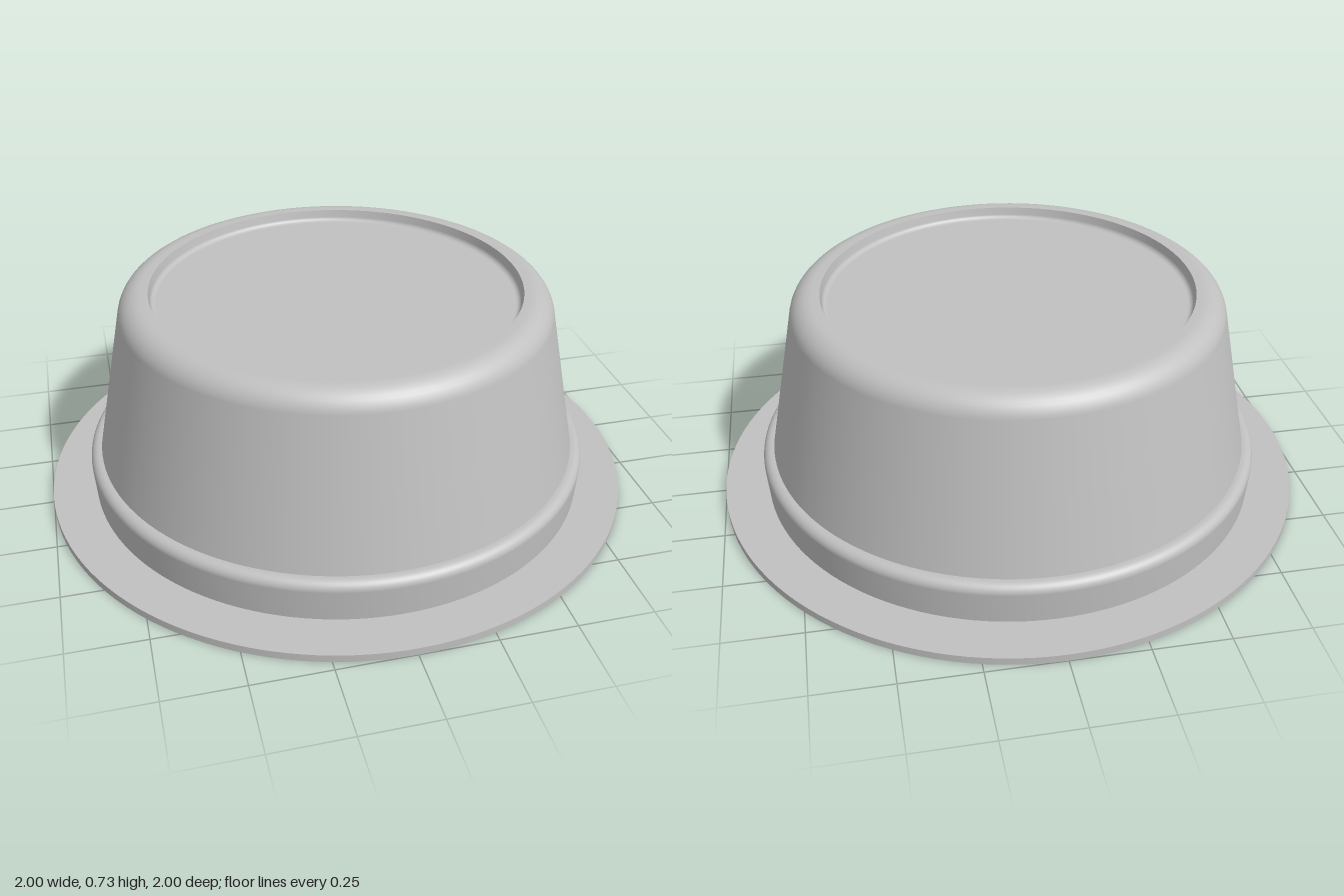
import * as THREE from 'three';

const SEGMENTS = 128;

// Turns corners [radius, height, fillet] into a profile with rounded corners.
function profile(corners) {
  const points = [];
  corners.forEach(([x, y, r], i) => {
    const p = new THREE.Vector2(x, y);
    if (!r) { points.push(p); return; }
    const a = new THREE.Vector2(...corners[i - 1].slice(0, 2)).sub(p).normalize();
    const b = new THREE.Vector2(...corners[i + 1].slice(0, 2)).sub(p).normalize();
    const half = Math.acos(a.dot(b)) / 2;
    const centre = a.clone().add(b).normalize().multiplyScalar(r / Math.sin(half)).add(p);
    const t = r / Math.tan(half);
    const from = a.multiplyScalar(t).add(p).sub(centre);
    const to = b.multiplyScalar(t).add(p).sub(centre);
    let sweep = to.angle() - from.angle();
    if (sweep > Math.PI) sweep -= 2 * Math.PI;
    if (sweep < -Math.PI) sweep += 2 * Math.PI;
    for (let k = 0; k <= 8; k++) {
      points.push(from.clone().rotateAround(new THREE.Vector2(), sweep * k / 8).add(centre));
    }
  });
  return points;
}

export function createModel() {
  const group = new THREE.Group();
  group.name = 'flangedCup';
  const grey = new THREE.MeshStandardMaterial({ color: 0xc0c0c0 });
  grey.name = 'grey';

  // Each part is one smooth surface; sharp edges lie between parts.
  const turn = (name, corners) => {
    const mesh = new THREE.Mesh(new THREE.LatheGeometry(profile(corners), SEGMENTS), grey);
    mesh.name = name;
    group.add(mesh);
  };

  // Inside of the shell, from the ceiling down to the opening
  turn('innerCeiling', [[0, 0.66], [0.63, 0.66]]);
  turn('innerGroove', [[0.63, 0.66], [0.637, 0.7]]);
  turn('innerWall', [[0.637, 0.7], [0.688, 0.7, 0.03], [0.796, 0.14]]);
  turn('innerStep', [[0.796, 0.14], [0.834, 0.14, 0.02], [0.826, 0]]);

  // Flat flange around the opening
  turn('flangeUnderside', [[0.826, 0], [1, 0]]);
  turn('flangeEdge', [[1, 0], [1, 0.025]]);
  turn('flangeTop', [[1, 0.025], [0.851, 0.025]]);

  // Outside of the shell, from the flange up to the recessed base
  turn('shoulder', [[0.851, 0.025], [0.86, 0.165, 0.03], [0.82, 0.165]]);
  turn('outerWall', [[0.82, 0.165], [0.707, 0.725, 0.08], [0.617, 0.725]]);
  turn('recess', [[0.617, 0.725], [0.609, 0.685, 0.018], [0.55, 0.685], [0, 0.685]]);
  return group;
}
